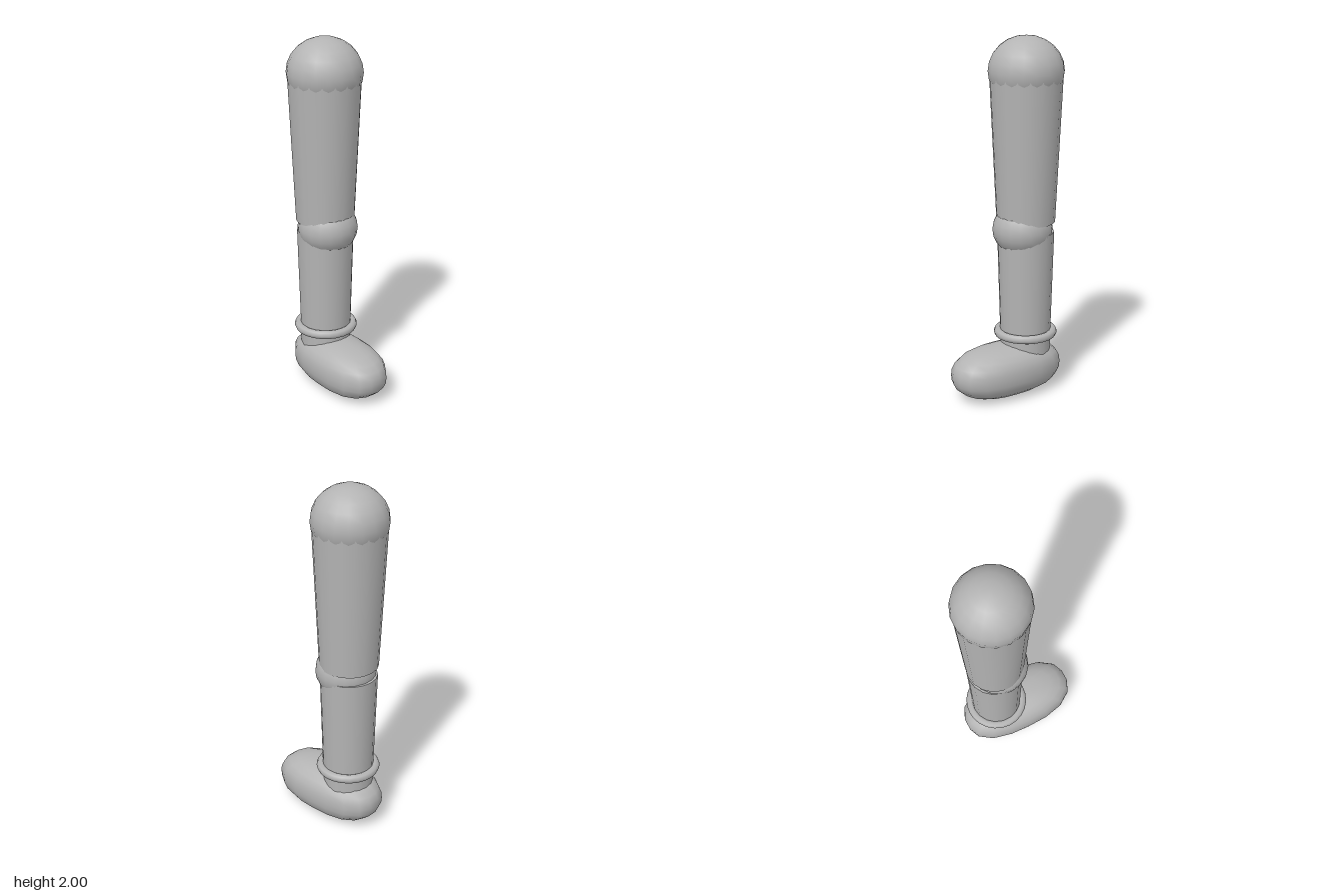
import * as THREE from 'three';
import { mergeVertices } from 'three/addons/utils/BufferGeometryUtils.js';

const SIDES = 18;
const LEG_Z = -0.133;

// Ellipsoid with softly squared sides: every vertex is pushed out to a p-norm ball
function softBlock(rx, ry, rz, power) {
  const geo = new THREE.SphereGeometry(1, SIDES, 14);
  const pos = geo.attributes.position;
  const v = new THREE.Vector3();
  for (let i = 0; i < pos.count; i++) {
    v.fromBufferAttribute(pos, i);
    const sum = Math.abs(v.x) ** power + Math.abs(v.y) ** power + Math.abs(v.z) ** power;
    v.multiplyScalar(sum ** (-1 / power));
    pos.setXYZ(i, v.x * rx, v.y * ry, v.z * rz);
  }
  // Weld the seam so the normals stay smooth
  geo.deleteAttribute('uv');
  geo.deleteAttribute('normal');
  const welded = mergeVertices(geo, 1e-5);
  welded.computeVertexNormals();
  return welded;
}

export function createModel() {
  const group = new THREE.Group();
  const grey = new THREE.MeshStandardMaterial({ color: 0xb4b4b4 });
  grey.name = 'plain grey';

  function add(name, geo, y, z) {
    const mesh = new THREE.Mesh(geo, grey);
    mesh.name = name;
    mesh.position.set(0, y, z);
    group.add(mesh);
    return mesh;
  }

  // Tapered limb section between two heights
  function limb(name, rTop, rBottom, yTop, yBottom) {
    const geo = new THREE.CylinderGeometry(rTop, rBottom, yTop - yBottom, SIDES);
    return add(name, geo, (yTop + yBottom) / 2, LEG_Z);
  }

  // Slightly flattened ball joint
  function joint(name, r, ry, y, z) {
    const geo = new THREE.SphereGeometry(r, SIDES, 12);
    geo.scale(1, ry / r, 1);
    return add(name, geo, y, z);
  }

  // Upper leg
  joint('hip', 0.207, 0.19, 1.81, LEG_Z);
  limb('thigh', 0.2, 0.162, 1.8, 0.98);

  // Knee sits a little forward of the leg axis
  joint('knee', 0.167, 0.154, 0.94, -0.112);

  // Lower leg
  limb('shin', 0.158, 0.142, 0.922, 0.34);
  limb('ankle', 0.14, 0.14, 0.36, 0.18);

  // Ring around the ankle
  const ring = new THREE.TorusGeometry(0.153, 0.025, 8, 24);
  ring.rotateX(Math.PI / 2);
  add('ankleRing', ring, 0.337, LEG_Z);

  // Long rounded foot
  add('foot', softBlock(0.178, 0.141, 0.336, 2.55), 0.143, 0);

  return group;
}
